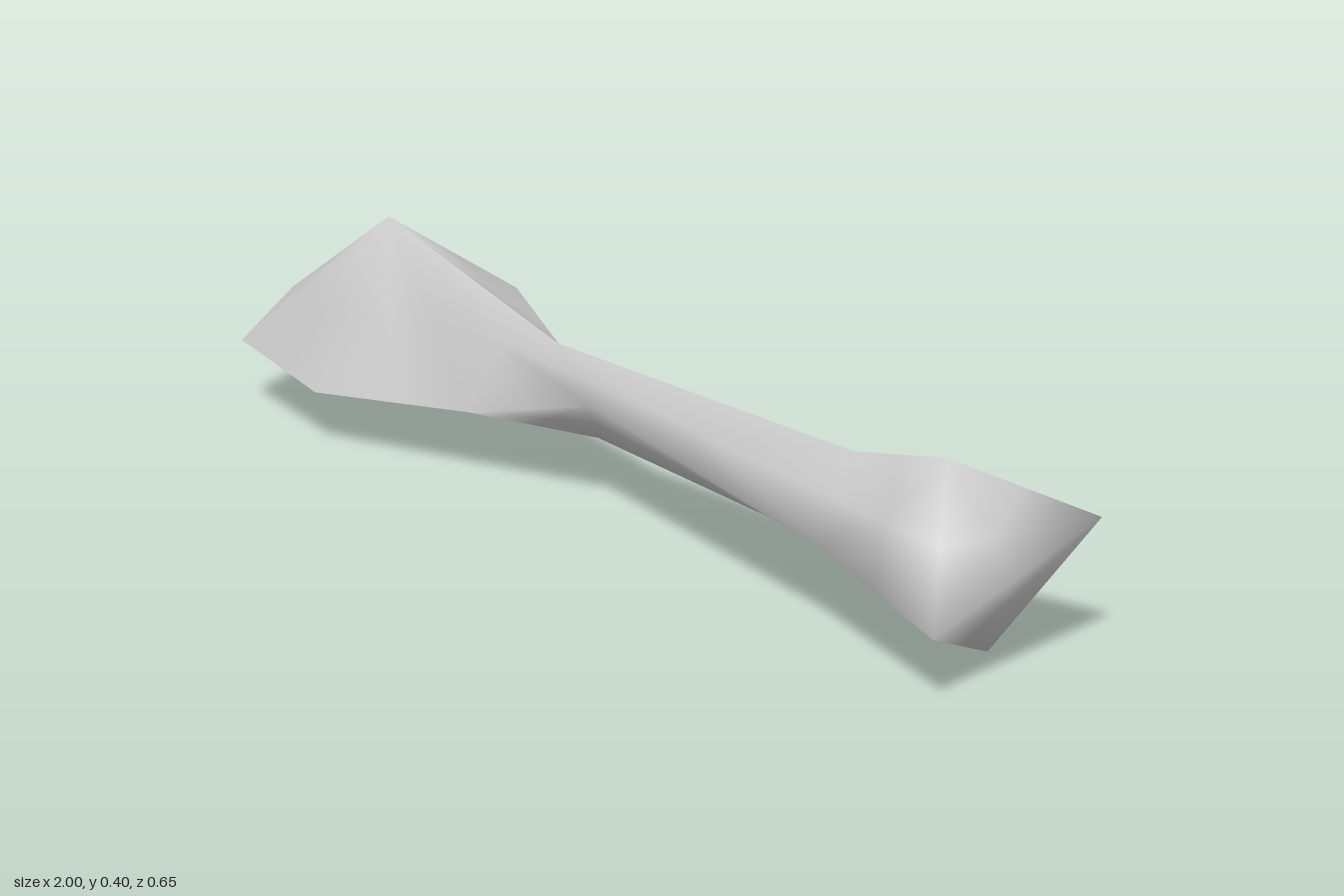
import * as THREE from 'three';
import { mergeVertices } from 'three/addons/utils/BufferGeometryUtils.js';

const mean = (...pts) => [0, 1, 2].map((k) => pts.reduce((s, p) => s + p[k], 0) / pts.length);

// Splits every polygon into one quad per corner around its centre, then smooths the normals
function skin(polygons) {
  const out = [];
  for (const poly of polygons) {
    const n = poly.length;
    const centre = mean(...poly);
    poly.forEach((corner, i) => {
      const next = mean(corner, poly[(i + 1) % n]);
      const prev = mean(poly[(i + n - 1) % n], corner);
      out.push(...corner, ...next, ...centre, ...corner, ...centre, ...prev);
    });
  }
  const soup = new THREE.BufferGeometry();
  soup.setAttribute('position', new THREE.Float32BufferAttribute(out, 3));
  const g = mergeVertices(soup, 1e-5);
  g.computeVertexNormals();
  return g;
}

// Four-sided cross-sections: top, front, bottom, back
const endRing = [[0.88, 0.322, 0.177], [0.988, 0.105, 0.325], [0.885, 0, 0.08], [0.998, 0.21, -0.04]];
const neckRing = [[0.65, 0.272, 0.125], [0.65, 0.145, 0.21], [0.64, 0.077, 0.07], [0.66, 0.2, -0.01]];
const waistRing = [[-0.14, 0.26, -0.015], [-0.02, 0.185, 0.03], [-0.08, 0.101, -0.05], [-0.04, 0.16, -0.11]];

// Head: peak and the rim from front round to back
const peak = [-0.585, 0.397, -0.037];
const rim = [
  [-0.3, 0.118, 0.04], [-0.63, 0.098, 0.1], [-0.925, 0.12, 0.02], [-1, 0.172, -0.165],
  [-0.88, 0.22, -0.32], [-0.57, 0.22, -0.325], [-0.28, 0.172, -0.18],
];

export function createModel() {
  const group = new THREE.Group();
  const material = new THREE.MeshStandardMaterial({ color: 0xcccccc });
  material.name = 'pale grey';
  const add = (name, polygons) => {
    const mesh = new THREE.Mesh(skin(polygons), material);
    mesh.name = name;
    group.add(mesh);
  };

  // Flared end, folded outward along its front-to-back diagonal
  const [endTop, endFront, endBottom, endBack] = endRing;
  const faces = [[endTop, endFront, endBack], [endFront, endBottom, endBack]];

  // Shaft lofted through the sections
  for (const [a, b] of [[endRing, neckRing], [neckRing, waistRing]]) {
    for (let k = 0; k < 4; k++) {
      const m = (k + 1) % 4;
      faces.push([a[k], b[k], b[m], a[m]]);
    }
  }

  // Transition from the waist into the head
  const [top, front, bottom, back] = waistRing;
  const rimFront = rim[0], rimBack = rim[rim.length - 1];
  faces.push(
    [top, peak, rimFront, front], [back, rimBack, peak, top],
    [front, rimFront, bottom], [back, bottom, rimBack],
  );

  // Head fanning down from its peak to the rim
  for (let i = 0; i < rim.length - 1; i++) faces.push([peak, rim[i + 1], rim[i]]);
  add('shaftAndHead', faces);

  // Underside of the head
  add('headUnderside', [[bottom, ...rim]]);

  return group;
}
